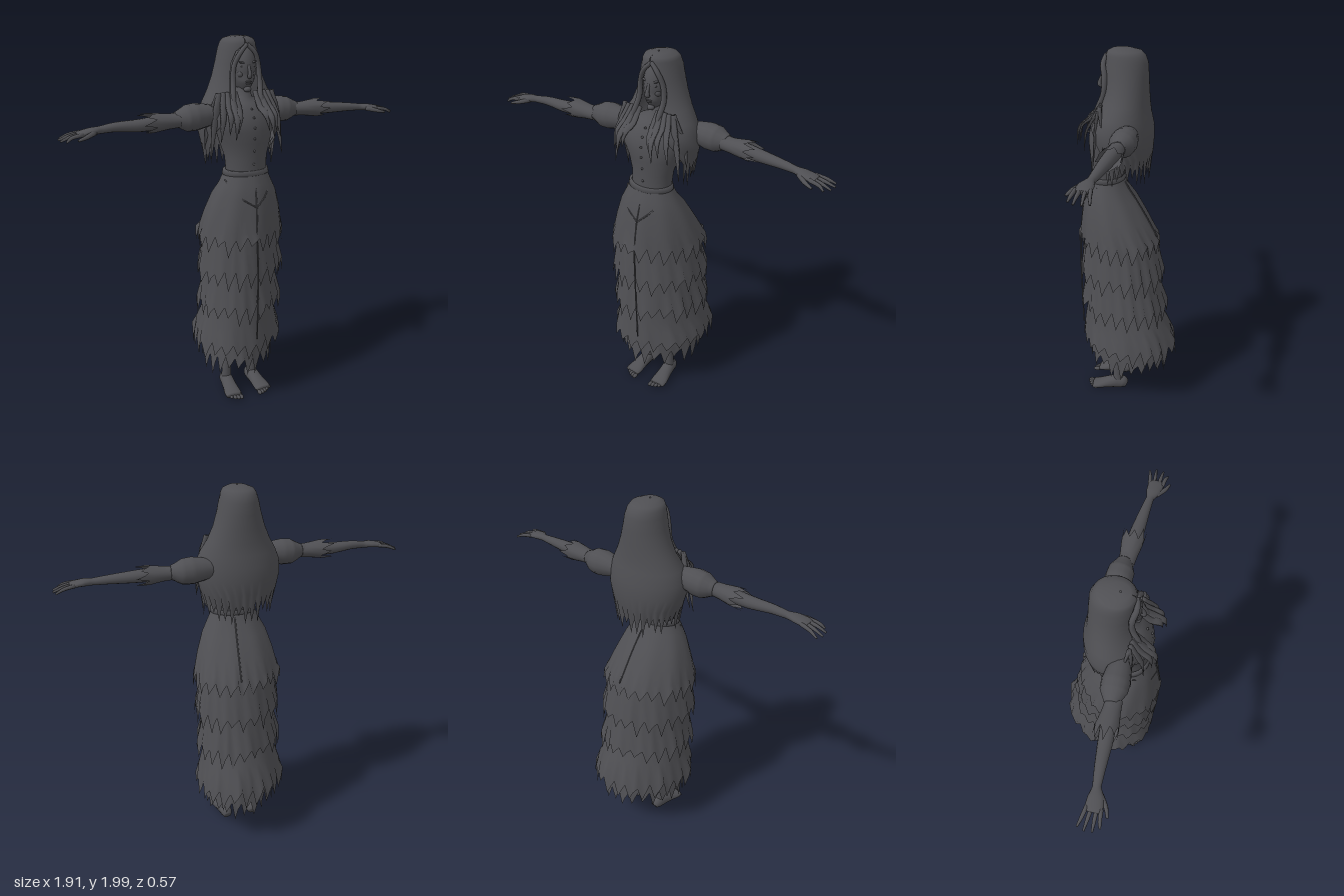
import * as THREE from 'three';

const cloth = new THREE.MeshStandardMaterial({ color: 0x4f4f53, side: THREE.DoubleSide });
cloth.name = 'charcoal';

let seed = 7;
const rand = () => (seed = (seed * 16807) % 2147483647) / 2147483647;

// Skin a list of equally long point rings
function loft(rings, closed = true) {
  const n = rings[0].length, pos = [], idx = [];
  rings.forEach(r => r.forEach(p => pos.push(p.x, p.y, p.z)));
  for (let r = 0; r < rings.length - 1; r++) {
    for (let c = 0; c < (closed ? n : n - 1); c++) {
      const a = r * n + c, e = r * n + (c + 1) % n;
      idx.push(a, a + n, e + n, a, e + n, e);
    }
  }
  const g = new THREE.BufferGeometry();
  g.setAttribute('position', new THREE.Float32BufferAttribute(pos, 3));
  g.setIndex(idx);
  g.computeVertexNormals();
  return g;
}

// Tapered tube through points [x, y, z, radius along ref, radius across]
function limb(pts, ref = [0, 0, 1], sides = 14, steps = 5) {
  const curve = new THREE.CatmullRomCurve3(pts.map(p => new THREE.Vector3(p[0], p[1], p[2])));
  const count = (pts.length - 1) * steps, rings = [];
  for (let i = 0; i <= count; i++) {
    const k = Math.min(Math.floor(i / steps), pts.length - 2), f = i / steps - k;
    const c = curve.getPoint(i / count), t = curve.getTangent(i / count);
    const u = new THREE.Vector3(...ref);
    u.addScaledVector(t, -u.dot(t)).normalize();
    const v = new THREE.Vector3().crossVectors(u, t);
    const rad = j => THREE.MathUtils.lerp(pts[k][j] ?? pts[k][3], pts[k + 1][j] ?? pts[k + 1][3], f);
    const ring = s => Array.from({ length: sides }, (_, m) => {
      const a = m / sides * Math.PI * 2;
      return c.clone().addScaledVector(u, s * rad(3) * Math.cos(a)).addScaledVector(v, s * rad(4) * Math.sin(a));
    });
    if (i === 0) rings.push(ring(0));
    rings.push(ring(1));
    if (i === count) rings.push(ring(0));
  }
  return loft(rings);
}

// Oval body section: half width, front z, back z; phi runs from the front to +x
function oval(phi, y, cx, rx, zf, zb, shear = 0, twist = 0) {
  const x = rx * Math.sin(phi), z = (zf - zb) / 2 * Math.cos(phi);
  return new THREE.Vector3(cx + x + shear * z, y, (zf + zb) / 2 + z + twist * x);
}

// Uneven saw teeth: a long tip, a slanted side and a notch
const teeth = (n, depth) => {
  let amp = 1;
  return Array.from({ length: n }, (_, i) => {
    if (i % 3 === 0) amp = 0.45 + rand() * 0.75;
    return [amp, 0.35 * amp, -0.25 * rand()][i % 3] * depth;
  });
};

export function createModel() {
  const model = new THREE.Group();
  const add = (name, geo, parent = model) => {
    const m = new THREE.Mesh(geo, cloth);
    m.name = name;
    parent.add(m);
    return m;
  };
  const ball = (name, x, y, z, rx, ry, rz, parent) => {
    const m = add(name, new THREE.SphereGeometry(1, 16, 12), parent);
    m.position.set(x, y, z);
    m.scale.set(rx, ry, rz);
    return m;
  };

  // Skirt tiers: rows of [y, half width, front z, back z], the last one is torn
  const tiers = [
    [[1.325, .115, .2, .03], [1.26, .145, .225, 0], [1.2, .178, .24, -.045], [1.1, .212, .257, -.105],
      [1.02, .232, .268, -.15], [.985, .242, .275, -.175]],
    [[1.02, .205, .245, -.14], [.9, .222, .262, -.175], [.79, .242, .275, -.2]],
    [[.83, .2, .24, -.16], [.7, .215, .255, -.19], [.59, .24, .272, -.22]],
    [[.63, .195, .24, -.17], [.5, .215, .25, -.215], [.43, .238, .26, -.25], [.36, .256, .27, -.275]],
    [[.43, .185, .21, -.18], [.33, .2, .225, -.21], [.26, .207, .235, -.225]],
  ];
  tiers.forEach((rows, t) => {
    const n = 72, jag = teeth(n, [.075, .085, .085, .09, .095][t]);
    const rings = rows.map(([y, rx, zf, zb], r) => Array.from({ length: n }, (_, i) => {
      const phi = i / n * Math.PI * 2, low = r / (rows.length - 1);
      const last = r === rows.length - 1;
      const fold = 1 + .022 * low * Math.sin(phi * 9 + t * 2) + (last ? (rand() - .3) * .05 : 0);
      const p = oval(phi, y, .005, rx * fold, zf, zb, -.16 * Math.min(1, (1.33 - y) * 3));
      p.z += (fold - 1) * .2 * Math.cos(phi);
      if (last) p.y -= jag[i];
      return p;
    }));
    add('skirtTier' + (t + 1), loft(rings));
  });

  // Skirt seams, yoke edges and waistband
  add('frontSeam', limb([[.015, 1.31, .2, .004], [.012, 1.2, .241, .004], [.005, 1.02, .268, .004], [.01, .8, .276, .004], [.012, .4, .268, .004]], [1, 0, 0], 6));
  add('backSeam', limb([[.02, 1.31, .03, .004], [.03, 1.2, -.046, .004], [.04, 1.0, -.165, .004]], [1, 0, 0], 6));
  for (const s of [-1, 1]) {
    add('yokeEdge', limb([[s * .125, 1.29, .145, .004], [s * .075, 1.21, .222, .004], [.012, 1.15, .25, .004]], [0, 1, 0], 6));
  }
  const band = [[1.335, .108], [1.335, .122], [1.31, .127], [1.31, .112]].map(([y, rx]) =>
    Array.from({ length: 40 }, (_, i) => oval(i / 40 * Math.PI * 2, y, .005, rx, .115 + rx * .75, .115 - rx * .75)));
  add('waistband', loft(band));

  // Bodice, twisted a little at the shoulders
  const bodice = [[1.75, .04, .105, .025, 0], [1.7, .045, .12, .01, 0], [1.675, .1, .145, -.015, -.1], [1.65, .155, .17, -.035, -.18],
    [1.6, .175, .2, -.045, -.18], [1.54, .158, .212, -.04, -.1], [1.48, .138, .207, -.02, 0], [1.4, .113, .2, .01, 0], [1.31, .108, .2, .03, 0]];
  add('bodice', loft(bodice.map(([y, rx, zf, zb, tw]) =>
    Array.from({ length: 36 }, (_, i) => oval(i / 36 * Math.PI * 2, y, .01, rx, zf, zb, 0, tw)))));
  [[1.65, .172], [1.61, .198], [1.56, .211], [1.505, .21], [1.44, .204], [1.37, .2]].forEach(([y, z]) =>
    ball('button', .015, y, z, .006, .006, .006));

  // Head and face
  const head = new THREE.Group();
  head.name = 'head';
  model.add(head);
  const skull = new THREE.SphereGeometry(1, 28, 20), sp = skull.attributes.position;
  for (let i = 0; i < sp.count; i++) {
    const y = sp.getY(i), jaw = y < 0 ? 1 + y * .3 : 1;
    sp.setXYZ(i, .012 + sp.getX(i) * .067 * jaw, 1.845 + y * .125, .06 + sp.getZ(i) * .08 + (y < -.4 && sp.getZ(i) > 0 ? .012 : 0));
  }
  skull.computeVertexNormals();
  add('skull', skull, head);
  add('nose', limb([[.012, 1.872, .13, .006], [.012, 1.835, .147, .009], [.012, 1.812, .15, .013], [.012, 1.803, .138, .008]], [1, 0, 0], 8), head);
  for (const s of [-1, 1]) {
    ball('eye', .012 + s * .027, 1.856, .124, .012, .006, .008, head);
    ball('cheek', .012 + s * .032, 1.82, .108, .018, .02, .02, head);
    const brow = ball('brow', .012 + s * .028, 1.876, .124, .021, .006, .009, head);
    brow.rotation.z = s * .2;
  }
  ball('upperLip', .012, 1.783, .137, .018, .005, .009, head);
  ball('lowerLip', .012, 1.773, .135, .015, .005, .009, head);
  ball('chin', .012, 1.742, .122, .02, .015, .018, head);

  // Long hair: open shell with rows [y, half width, front z, back z, opening angle]
  const rows = [[2, .004, .045, .035, 0], [1.997, .045, .085, -.02, 0], [1.985, .078, .108, -.065, .01], [1.965, .09, .115, -.085, .05],
    [1.93, .1, .12, -.098, .5], [1.87, .113, .12, -.102, .68], [1.8, .133, .125, -.105, .64], [1.73, .163, .14, -.108, .56],
    [1.67, .198, .17, -.115, .5], [1.61, .222, .2, -.128, .62], [1.54, .222, .19, -.13, .85], [1.47, .205, .175, -.125, 1.1], [1.41, .185, .16, -.105, 1.2]];
  const n = 61, jag = teeth(n, .085);
  const shell = rows.map(([y, rx, zf, zb, gap], r) => Array.from({ length: n }, (_, i) => {
    const phi = gap + i / (n - 1) * 2 * (Math.PI - gap);
    const p = oval(phi, y, .003, rx, zf, zb);
    if (r === rows.length - 1) p.y -= jag[i] - .03 * Math.abs(Math.sin(phi)) + .02;
    return p;
  }));
  add('hair', loft(shell, false));
  for (const s of [-1, 1]) {
    // Parted hair beside the face
    add('partedHair', limb([[.012, 1.965, .115, .01], [.012 + s * .04, 1.925, .122, .014, .012], [.01 + s * .067, 1.86, .11, .015, .012],
      [.01 + s * .073, 1.78, .115, .015, .014], [s * .075, 1.71, .145, .014], [s * .085, 1.64, .185, .004]], [0, 0, 1], 8));
    // Loose locks over the chest and shoulders
    [[.06, .085, 1.545, .235], [.085, .105, 1.515, .25], [.11, .13, 1.54, .23], [.135, .165, 1.5, .2], [.16, .2, 1.4, .15], [.165, .215, 1.45, .1]]
      .forEach(([x0, x1, y, z]) => add('lock', limb([[s * x0 * .9, 1.73, .12, .012], [s * x0, 1.66, .16 + (z - .2) * .5, .008, .02],
        [s * (x0 + x1) / 2, (1.66 + y) / 2 + .02, z - .01, .006, .017], [s * x1, y, z, .001]], [0, 0, 1], 7)));
  }

  // Arms: puffed shoulder, torn sleeve, forearm, hand and fingers
  for (const s of [-1, 1]) {
    const arm = new THREE.Group();
    arm.name = s > 0 ? 'leftArm' : 'rightArm';
    arm.position.set(0, s > 0 ? 1.595 : 1.615, s > 0 ? -.03 : .09);
    model.add(arm);
    const lift = s > 0 ? 0 : .01;
    add('puffSleeve', limb([[s * .14, .005, 0, .045], [s * .21, .005, 0, .06], [s * .26, .003, 0, .069], [s * .31, 0, .002, .066], [s * .35, 0, .005, .045], [s * .37, 0, .007, .036]]), arm);
    const m = 24, cuffJag = teeth(m, .06);
    const cuff = [[.35, .04], [.41, .045], [.46, .053], [.49, .058]].map(([x, r], k) => Array.from({ length: m }, (_, i) => {
      const a = -s * i / m * Math.PI * 2;
      return new THREE.Vector3(s * (x + (k === 3 ? cuffJag[i] : 0)), -.005 + r * Math.sin(a) * .85, .015 + r * Math.cos(a));
    }));
    add('tornSleeve', loft(cuff), arm);
    add('forearm', limb([[s * .34, 0, .005, .034], [s * .46, -.005, .017, .038, .035], [s * .56, -.01, .025, .035, .031], [s * .68, -.015 + lift, .033, .026, .023],
      [s * .755, -.02 + lift, .04, .02, .018], [s * .8, -.022 + lift, .047, .037, .018], [s * .85, -.028 + lift, .05, .042, .014], [s * .868, -.031 + lift, .05, .036, .01]]), arm);
    [[.018, -.003, .94], [.04, .03, .952], [.063, .068, .948], [.083, .098, .925]].forEach(([z0, z1, x]) =>
      add('finger', limb([[s * .845, -.027 + lift, z0, .011], [s * .9, -.036 + lift, (z0 + z1) / 2, .009], [s * x, -.053 + lift, z1, .005]], [0, 0, 1], 7, 3), arm));
    add('thumb', limb([[s * .785, -.025 + lift, .065, .014], [s * .83, -.035 + lift, .1, .011], [s * .875, -.045 + lift, .118, .006]], [0, 1, 0], 7, 3), arm);
  }

  // Legs and bare feet
  for (const s of [-1, 1]) {
    const leg = new THREE.Group();
    leg.name = s > 0 ? 'leftLeg' : 'rightLeg';
    model.add(leg);
    add('shin', limb([[s * .07, .95, .07, .07], [s * .072, .6, .06, .05], [s * .074, .4, .045, .043], [s * .076, .2, .05, .028], [s * .08, .1, .05, .027], [s * .08, .04, .045, .03]]), leg);
    add('foot', limb([[s * .077, .035, 0, .02, .022], [s * .078, .046, .02, .037, .032], [s * .08, .05, .055, .042, .036], [s * .085, .04, .11, .031, .04],
      [s * .09, .03, .16, .021, .047], [s * .092, .025, .195, .015, .046]], [0, 1, 0]), leg);
    for (let i = 0; i < 5; i++) {
      ball('toe', s * (.057 + i * .0175), .02, .213 - i * i * .0022, .011 - i * .0007, .011 - i * .0008, .02 - i * .001, leg);
    }
  }
  return model;
}
